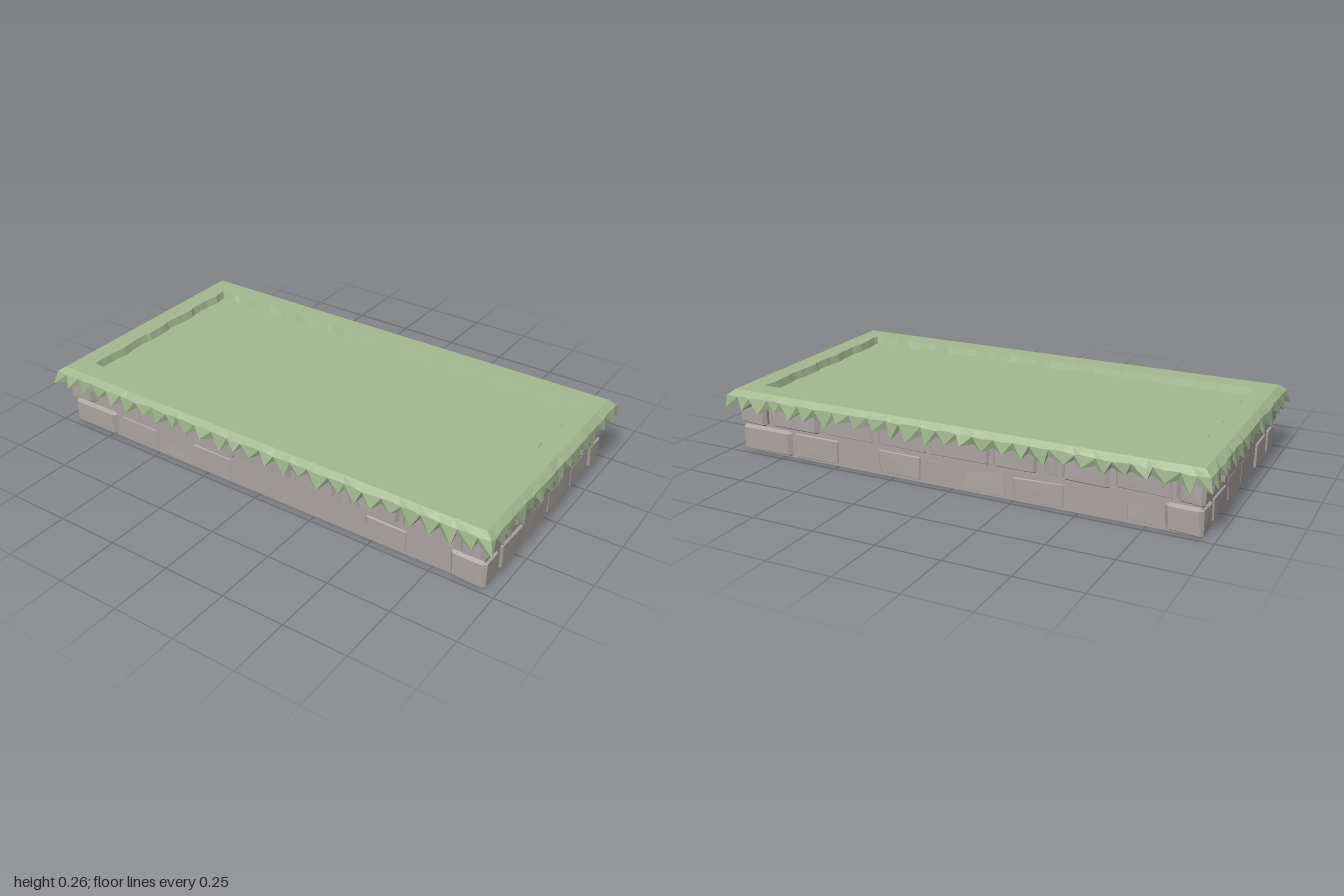
import * as THREE from 'three';
import { ConvexGeometry } from 'three/addons/geometries/ConvexGeometry.js';

let seed = 7;
const rand = () => (seed = (seed * 16807) % 2147483647) / 2147483647;
const jitter = (a) => (rand() * 2 - 1) * a;

const stone = new THREE.MeshStandardMaterial({ color: 0xaaa4a1, flatShading: true });
const grass = new THREE.MeshStandardMaterial({ color: 0xa2b890, flatShading: true });

function mesh(name, geometry, material) {
  const m = new THREE.Mesh(geometry, material);
  m.name = name;
  return m;
}

// Rough stone block between two corners, with uneven chamfered edges
function block(min, max) {
  const pts = [];
  for (let c = 0; c < 8; c++) {
    const sign = [c & 1, (c >> 1) & 1, (c >> 2) & 1];
    const corner = sign.map((s, k) => (s ? max[k] - rand() * 0.004 : min[k] + rand() * 0.004));
    const cut = 0.01 + rand() * 0.012;
    for (let keep = 0; keep < 3; keep++) {
      const p = corner.map((v, k) => (k === keep ? v : v + (sign[k] ? -1 : 1) * cut * (k === 1 ? 0.6 : 1)));
      pts.push(new THREE.Vector3(p[0], Math.max(p[1], 0), p[2]));
    }
  }
  return mesh('stoneBlock', new ConvexGeometry(pts), stone);
}

// One course of blocks on all four sides; the long sides hold the corner blocks
function course(name, y0, y1, hx, hz, longSeams, shortSeams) {
  const g = new THREE.Group();
  g.name = name;
  const depth = 0.11;
  for (const s of [1, -1]) {
    const xs = [-hx, ...longSeams, hx];
    for (let i = 0; i < xs.length - 1; i++) {
      const end = i === 0 || i === xs.length - 2;
      const out = hz + (end ? 0.008 : -rand() * 0.012);
      const z = [s * out, s * (hz - depth)].sort((a, b) => a - b);
      const x = [s * xs[i], s * xs[i + 1]].sort((a, b) => a - b);
      g.add(block([x[0] + 0.002, y0, z[0]], [x[1] - 0.002, y1 - rand() * 0.008, z[1]]));
    }
    const zs = [-hz + depth, ...shortSeams, hz - depth];
    for (let i = 0; i < zs.length - 1; i++) {
      const x = [s * (hx - rand() * 0.012), s * (hx - depth)].sort((a, b) => a - b);
      const z = [s * zs[i], s * zs[i + 1]].sort((a, b) => a - b);
      g.add(block([x[0], y0, z[0] + 0.002], [x[1], y1 - rand() * 0.008, z[1] - 0.002]));
    }
  }
  return g;
}

// Raised grass border lofted around the rectangle, ending in hanging teeth
function grassBorder() {
  const corners = [[-1, 1], [1, 1], [1, -1], [-1, -1]];
  const loops = [];
  for (let side = 0; side < 4; side++) {
    const [ax, az] = corners[side];
    const [bx, bz] = corners[(side + 1) % 4];
    const n = side % 2 ? 28 : 52;
    for (let i = 0; i < n; i++) {
      const tip = i % 2 === 0;
      const t = (i + (i ? jitter(0.35) : 0)) / n;
      const u = ax + (bx - ax) * t;
      const v = az + (bz - az) * t;
      const wave = 0.004 * Math.sin(i * 0.9 + side) + 0.002 * Math.sin(i * 2.1);
      const flare = tip ? rand() * 0.013 : -0.012;
      const low = i === 0 ? 0.185 : tip ? 0.168 + rand() * 0.03 : 0.203 + rand() * 0.012;
      const rows = [
        [0.865 + wave, 0.400 + wave, 0.230],
        [0.876 + wave, 0.410 + wave, 0.260],
        [0.955, 0.498, 0.260],
        [0.982 + jitter(0.003), 0.518 + jitter(0.003), 0.238 + jitter(0.004)],
        [0.985 + flare, 0.520 + flare, low],
        [0.930, 0.460, 0.215],
      ];
      loops.push(rows.map(([hx, hz, y]) => [u * hx, y, v * hz]));
    }
  }
  const position = loops.flat(2);
  const index = [];
  const R = 6;
  for (let i = 0; i < loops.length; i++) {
    const j = (i + 1) % loops.length;
    for (let r = 0; r < R - 1; r++) {
      const a = i * R + r;
      const b = j * R + r;
      // Diagonal runs from each tooth's shoulder so both of its sides mirror
      if (i % 2) index.push(a, a + 1, b + 1, a, b + 1, b);
      else index.push(a, a + 1, b, b, a + 1, b + 1);
    }
  }
  const geo = new THREE.BufferGeometry();
  geo.setAttribute('position', new THREE.Float32BufferAttribute(position, 3));
  geo.setIndex(index);
  geo.computeVertexNormals();
  const m = mesh('grassBorder', geo, grass.clone());
  m.material.side = THREE.DoubleSide;
  return m;
}

export function createModel() {
  seed = 7;
  const model = new THREE.Group();
  model.name = 'grassPlatform';

  // Solid core behind the stones, closing the base
  const core = mesh('stoneCore', new THREE.BoxGeometry(1.89, 0.22, 0.935), stone);
  core.position.y = 0.11;
  model.add(core);

  // Two staggered courses
  model.add(course('lowerCourse', 0, 0.112, 0.957, 0.477,
    [-0.71, -0.49, -0.33, -0.12, 0.03, 0.23, 0.46, 0.66, 0.81], [-0.2, 0, 0.18]));
  model.add(course('upperCourse', 0.114, 0.226, 0.962, 0.485,
    [-0.82, -0.58, -0.33, -0.1, 0.16, 0.35, 0.43, 0.62, 0.85], [-0.25, -0.08, 0.08, 0.27]));

  // Sunken lawn inside the raised border
  const lawn = mesh('lawn', new THREE.PlaneGeometry(1.745, 0.815).rotateX(-Math.PI / 2), grass);
  lawn.position.y = 0.231;
  model.add(lawn, grassBorder());

  return model;
}
